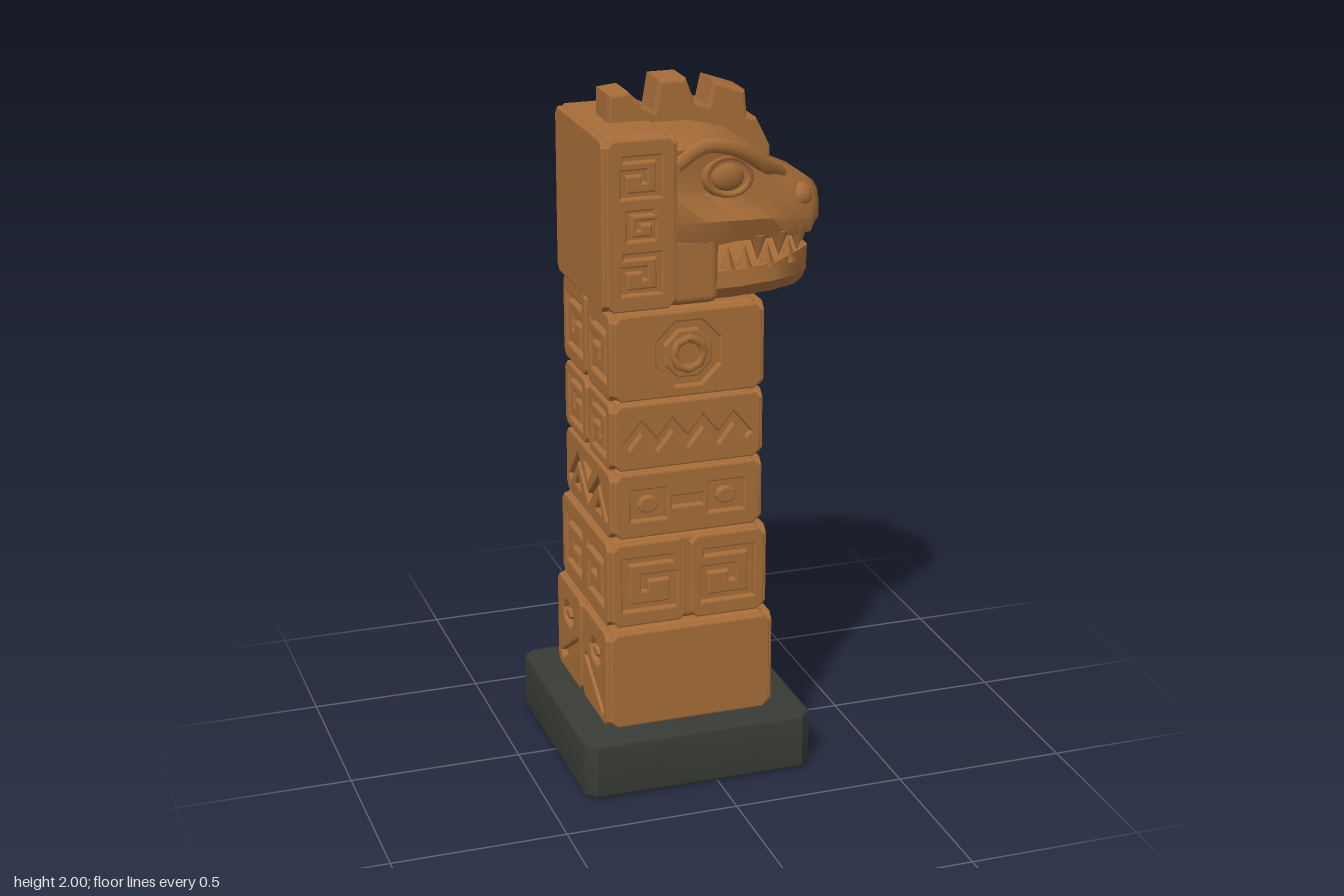
import * as THREE from 'three';
import { toCreasedNormals } from 'three/addons/utils/BufferGeometryUtils.js';
import { RoundedBoxGeometry } from 'three/addons/geometries/RoundedBoxGeometry.js';

const wood = new THREE.MeshStandardMaterial({ color: 0xa56c38 });
wood.name = 'carved wood';
const stone = new THREE.MeshStandardMaterial({ color: 0x383b35 });
stone.name = 'dark stone';

const CX = -0.053; // pillar axis
const V = (x, y) => new THREE.Vector2(x, y);

function add(parent, name, geometry, x = 0, y = 0, z = 0, material = wood) {
  const mesh = new THREE.Mesh(geometry, material);
  mesh.name = name;
  mesh.position.set(x, y, z);
  parent.add(mesh);
  return mesh;
}

// ---- carved glyph outlines ----
// polygon around a polyline, with mitred corners
function stroke(pts, width) {
  const p = pts.map(([x, y]) => V(x, y)), left = [], right = [];
  p.forEach((q, i) => {
    const a = q.clone().sub(p[i - 1] || q).normalize();
    const b = (p[i + 1] || q).clone().sub(q).normalize();
    if (i === 0) a.copy(b);
    if (i === p.length - 1) b.copy(a);
    const n = V(-a.y - b.y, a.x + b.x).normalize();
    const m = (width / 2) / Math.max(0.4, n.dot(V(-a.y, a.x)));
    left.push(q.clone().addScaledVector(n, m));
    right.unshift(q.clone().addScaledVector(n, -m));
  });
  return [...left, ...right];
}
const spiral = (x, y, a, flip = 1) => stroke(
  [[-1, 1], [1, 1], [1, -1], [-1, -1], [-1, 0.25], [0.2, 0.25], [0.2, -0.3]]
    .map(([u, v]) => [x + u * a * flip, y + v * a]), a * 0.27);
const ngon = (x, y, rx, ry, n, turn = 0) => Array.from({ length: n }, (_, i) => {
  const t = turn + (i / n) * Math.PI * 2;
  return V(x + rx * Math.cos(t), y + ry * Math.sin(t));
});
const rect = (x, y, w, h) => ngon(x, y, w * 0.7071, h * 0.7071, 4, Math.PI / 4);

// raised plate with grooves cut through it and raised islands inside them
function panel(w, h, grooves = [], islands = []) {
  const c = 0.02, a = w / 2, b = h / 2;
  const plate = new THREE.Shape([V(-a + c, -b), V(a - c, -b), V(a, -b + c), V(a, b - c),
    V(a - c, b), V(-a + c, b), V(-a, b - c), V(-a, -b + c)]);
  plate.holes = grooves.map((g) => new THREE.Path(g));
  return new THREE.ExtrudeGeometry([plate, ...islands.map((s) => new THREE.Shape(s))], {
    depth: 0.014, bevelThickness: 0.006, bevelSize: 0.006, bevelOffset: -0.006, bevelSegments: 2,
  });
}

// a stone-like block with panels on its faces; side = faces ±z, end = faces ±x
function block(parent, name, x, y0, y1, w, d, side, end) {
  const g = new THREE.Group(), h = y1 - y0 - 0.012;
  g.name = name;
  g.position.set(x, (y0 + y1) / 2, 0);
  add(g, 'core', new RoundedBoxGeometry(w - 0.036, h + 0.012, d - 0.036, 3, 0.02));
  const faces = [[side, w, d, 0], [end, d, w, Math.PI / 2], [side, w, d, Math.PI], [end, d, w, -Math.PI / 2]];
  for (const [make, width, depth, turn] of faces) {
    const face = new THREE.Group();
    face.name = 'face';
    face.rotation.y = turn;
    make(width - 0.02, h).forEach(([geo, px]) => add(face, 'carving', geo, px, 0, depth / 2 - 0.02));
    g.add(face);
  }
  parent.add(g);
}

// ---- face designs: each returns [geometry, offset] pairs ----
const plain = (w, h) => [[panel(w, h), 0]];
const pair = (a) => (w, h) => [-1, 1].map((s) =>
  [panel(w / 2 - 0.006, h, [spiral(0, 0, a, s)]), s * (w / 4 + 0.003)]);
const octagon = (w, h) => [[panel(w, h,
  [ngon(0, 0, 0.1, 0.1, 8, Math.PI / 8), ], [ngon(0, 0, 0.075, 0.075, 8, Math.PI / 8)]), 0],
  [new THREE.TorusGeometry(0.045, 0.013, 6, 8).translate(0, 0, 0.02), 0]];
const zigzag = (w, h) => [[panel(w, h, [stroke(Array.from({ length: 9 }, (_, i) =>
  [-0.18 + i * 0.045, i % 2 ? 0.028 : -0.028]), 0.022)]), 0]];
const eyesAndBar = (w, h) => [[panel(w, h,
  [rect(-0.115, 0, 0.105, 0.09), rect(0.115, 0, 0.105, 0.09), rect(0, 0, 0.09, 0.03)],
  [ngon(-0.115, 0, 0.03, 0.026, 10), ngon(0.115, 0, 0.03, 0.026, 10)]), 0]];
const peaks = (w, h) => [[panel(w, h, [
  stroke([[-0.18, -0.05], [-0.1, 0.04], [0, -0.05], [0.1, 0.04], [0.18, -0.05]], 0.02),
  ...[-1, 1].map((s) => ngon(s * 0.1, -0.04, 0.035, 0.028, 3, Math.PI / 2)),
  [V(-0.04, 0.05), V(0, 0.005), V(0.04, 0.05)]]), 0]];
const curls = (w, h) => [[panel(w, h, [-1, 1].map((s) => stroke(
  [[0.025, 0.06], [0.175, 0.06], [0.175, -0.065], [0.045, -0.065], [0.045, 0], [0.115, 0]]
    .map(([x, y]) => [x * s, y]), 0.022))), 0]];
const feet = (w, h) => [-1, 1].map((s) => [panel(w / 2 - 0.006, h, [
  stroke([[-0.09 * s, 0.0], [0.08 * s, -0.11]], 0.022), ngon(0.01 * s, 0.05, 0.052, 0.038, 10)],
  [ngon(0.01 * s, 0.05, 0.026, 0.016, 8)]), s * (w / 4 + 0.003)]);
const glyphColumn = (w, h) => [[panel(w, h,
  [spiral(0, 0.135, 0.05), spiral(0, 0, 0.036, -1), spiral(0, -0.135, 0.05)]), 0]];

// skin over mirrored cross-sections; each section is [x, [halfWidth, y] from bottom to top]
function loft(sections) {
  const rings = sections.map(([x, ...half]) => [...half.map(([w, y]) => [x, y, w]),
    ...half.slice().reverse().map(([w, y]) => [x, y, -w])]);
  const n = rings[0].length, index = [], last = (rings.length - 1) * n;
  for (let i = 0; i < rings.length - 1; i++) {
    for (let j = 0; j < n; j++) {
      const a = i * n + j, b = i * n + (j + 1) % n;
      index.push(a, a + n, b, b, a + n, b + n);
    }
  }
  for (let j = 1; j < n - 1; j++) index.push(0, j, j + 1, last, last + j + 1, last + j);
  const geo = new THREE.BufferGeometry();
  geo.setAttribute('position', new THREE.Float32BufferAttribute(rings.flat(2), 3));
  geo.setIndex(index);
  return toCreasedNormals(geo, 0.75);
}

function buildHead() {
  const head = new THREE.Group();
  head.name = 'head';
  block(head, 'headBack', -0.187, 1.4, 1.892, 0.216, 0.46, glyphColumn, plain);

  // skull: jaw line, cheek, eye hollow, brow, crown
  add(head, 'skull', loft([
    [-0.1, [0.2, 1.56], [0.225, 1.64], [0.2, 1.72], [0.215, 1.84], [0.17, 1.885]],
    [0.0, [0.205, 1.56], [0.232, 1.64], [0.185, 1.71], [0.205, 1.84], [0.16, 1.885]],
    [0.1, [0.2, 1.57], [0.225, 1.635], [0.175, 1.70], [0.185, 1.81], [0.13, 1.86]],
    [0.2, [0.185, 1.565], [0.2, 1.625], [0.16, 1.69], [0.15, 1.75], [0.1, 1.79]],
    [0.26, [0.165, 1.56], [0.175, 1.61], [0.155, 1.66], [0.135, 1.71], [0.08, 1.74]],
    [0.34, [0.13, 1.555], [0.148, 1.6], [0.14, 1.64], [0.12, 1.68], [0.07, 1.705]],
    [0.375, [0.07, 1.56], [0.1, 1.59], [0.1, 1.63], [0.085, 1.665], [0.05, 1.68]],
    [0.388, [0.03, 1.58], [0.04, 1.59], [0.04, 1.61], [0.035, 1.63], [0.02, 1.64]],
  ]));
  add(head, 'jawHinge', new RoundedBoxGeometry(0.15, 0.2, 0.42, 3, 0.025), -0.03, 1.5, 0);
  add(head, 'lowerJaw', loft([
    [-0.1, [0.17, 1.4], [0.205, 1.44], [0.2, 1.49]],
    [0.1, [0.17, 1.4], [0.205, 1.44], [0.195, 1.485]],
    [0.22, [0.145, 1.4], [0.18, 1.44], [0.175, 1.49]],
    [0.3, [0.11, 1.4], [0.145, 1.44], [0.145, 1.51]],
    [0.34, [0.07, 1.405], [0.1, 1.44], [0.105, 1.51]],
    [0.358, [0.03, 1.43], [0.045, 1.45], [0.05, 1.5]],
  ]));

  // crest running over the crown
  const crest = new THREE.Shape([[-0.22, 1.87], [0.1, 1.83], [0.24, 1.73], [0.24, 1.79], [0.2, 1.87],
    [0.172, 1.88], [0.165, 1.95], [0.08, 1.98], [0.065, 1.915], [0.02, 1.93], [-0.005, 1.995],
    [-0.075, 1.995], [-0.09, 1.91], [-0.13, 1.93], [-0.17, 1.97], [-0.22, 1.965]].map(([x, y]) => V(x, y)));
  add(head, 'crest', new THREE.ExtrudeGeometry(crest, {
    depth: 0.1, bevelThickness: 0.012, bevelSize: 0.01, bevelOffset: -0.005, bevelSegments: 2,
  }), 0, 0, -0.05);

  for (const s of [-1, 1]) {
    // brow ridge, eye and nostril
    const brow = new THREE.CatmullRomCurve3([[-0.08, 1.8, 0.2], [0, 1.845, 0.198], [0.1, 1.825, 0.185],
      [0.19, 1.765, 0.15], [0.26, 1.72, 0.09]].map(([x, y, z]) => new THREE.Vector3(x, y, z * s)));
    add(head, 'brow', new THREE.TubeGeometry(brow, 14, 0.024, 7));
    const eye = new THREE.Group();
    eye.name = 'eye';
    eye.position.set(0.075, 1.75, 0.175 * s);
    eye.rotation.set(0, 0.2 * s, -0.25);
    add(eye, 'eyeball', new THREE.SphereGeometry(0.05, 14, 10)).scale.set(1.1, 0.85, 0.5);
    add(eye, 'eyelid', new THREE.TorusGeometry(0.062, 0.013, 6, 16)).scale.set(1.15, 0.85, 1.4);
    head.add(eye);
    add(head, 'nostril', new THREE.SphereGeometry(0.038, 10, 8), 0.31, 1.66, 0.115 * s);
    // teeth
    for (const [x, z] of [[0.165, 0.18], [0.235, 0.16], [0.3, 0.13], [0.34, 0.06]])
      add(head, 'upperTooth', new THREE.ConeGeometry(0.026, 0.075, 6).rotateX(Math.PI), x, 1.54, z * s);
    for (const [x, z] of [[0.08, 0.175], [0.13, 0.17], [0.2, 0.16], [0.27, 0.14]])
      add(head, 'lowerTooth', new THREE.ConeGeometry(0.024, 0.07, 6), x, 1.515, z * s);
  }
  return head;
}

export function createModel() {
  const model = new THREE.Group();
  model.name = 'totemPillar';

  // plinth with clipped corners
  const a = 0.33, b = 0.305;
  const outline = new THREE.Shape([V(-b, -a), V(b, -a), V(a, -b), V(a, b), V(b, a), V(-b, a), V(-a, b), V(-a, -b)]);
  const plinth = new THREE.ExtrudeGeometry(outline, {
    depth: 0.146, bevelThickness: 0.012, bevelSize: 0.01, bevelSegments: 3,
  }).rotateX(-Math.PI / 2);
  add(model, 'plinth', toCreasedNormals(plinth, 0.6), -0.05, 0.012, 0, stone);

  // stacked carved blocks
  block(model, 'footBlock', CX, 0.165, 0.468, 0.5, 0.51, plain, feet);
  block(model, 'spiralBlock', CX, 0.468, 0.732, 0.475, 0.47, pair(0.07), curls);
  block(model, 'eyeBlock', CX, 0.732, 0.937, 0.45, 0.45, eyesAndBar, peaks);
  block(model, 'zigzagBlock', CX, 0.937, 1.142, 0.45, 0.455, zigzag, pair(0.06));
  block(model, 'medallionBlock', CX, 1.142, 1.402, 0.45, 0.465, octagon, pair(0.068));

  model.add(buildHead());
  return model;
}
